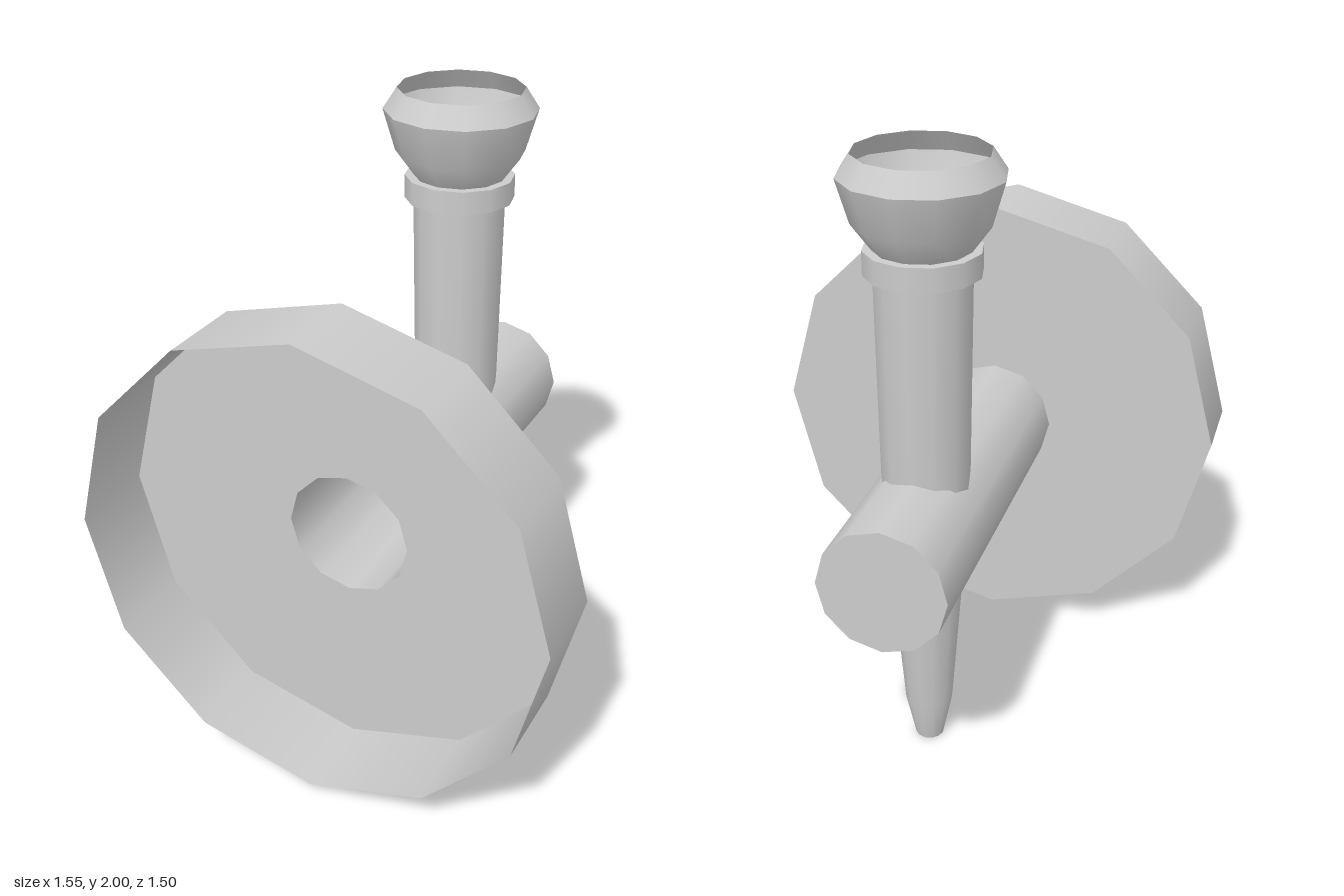
import * as THREE from 'three';

const SIDES = 12;
const AXIS_Y = 0.813;
const PLATE_RADIUS = 0.777;
const SHAFT_RADIUS = 0.202;
const material = new THREE.MeshStandardMaterial({ color: 0xcccccc, side: THREE.DoubleSide });

function addMesh(parent, name, geometry, z = 0) {
  const mesh = new THREE.Mesh(geometry, material);
  mesh.name = name;
  mesh.position.z = z;
  parent.add(mesh);
}

// Open twelve-sided wall running along z
function wall(radius, length) {
  return new THREE.CylinderGeometry(radius, radius, length, SIDES, 1, true).rotateX(Math.PI / 2);
}

function lathe(points) {
  return new THREE.LatheGeometry(points.map(([r, y]) => new THREE.Vector2(r, y)), SIDES);
}

export function createModel() {
  const model = new THREE.Group();

  const barrel = new THREE.Group();
  barrel.name = 'barrel';
  barrel.position.y = AXIS_Y;
  model.add(barrel);

  // Shallow dish, open to the front, with a centre hole in its floor
  addMesh(barrel, 'dishRim', wall(PLATE_RADIUS, 0.288), 0.606);
  addMesh(barrel, 'dishFloor', new THREE.RingGeometry(SHAFT_RADIUS, PLATE_RADIUS, SIDES).rotateY(Math.PI), 0.462);

  // Hollow shaft from the dish floor to a closed back end
  addMesh(barrel, 'shaft', wall(SHAFT_RADIUS, 1.212), -0.144);
  addMesh(barrel, 'shaftEnd', new THREE.CircleGeometry(SHAFT_RADIUS, SIDES).rotateY(Math.PI), -0.75);

  // Hollow pin through the shaft, leaning back very slightly
  const pin = new THREE.Group();
  pin.name = 'pin';
  pin.position.z = -0.309;
  pin.rotation.set(-0.0115, -0.045, 0);
  model.add(pin);

  // Separate profile runs keep the edges between them crisp
  const runs = {
    pinStem: [[0.046, 0], [0.078, 0.15], [0.118, 0.65], [0.139, 1.0], [0.148, 1.645], [0.148, 1.72]],
    collarUnderside: [[0.148, 1.642], [0.177, 1.642]],
    collarSide: [[0.177, 1.642], [0.177, 1.717]],
    collarTop: [[0.177, 1.717], [0.148, 1.717]],
    cupBowl: [[0.148, 1.717], [0.207, 1.798], [0.246, 1.931]],
    cupLip: [[0.246, 1.931], [0.202, 1.998]],
  };
  for (const [name, points] of Object.entries(runs)) addMesh(pin, name, lathe(points));

  return model;
}
